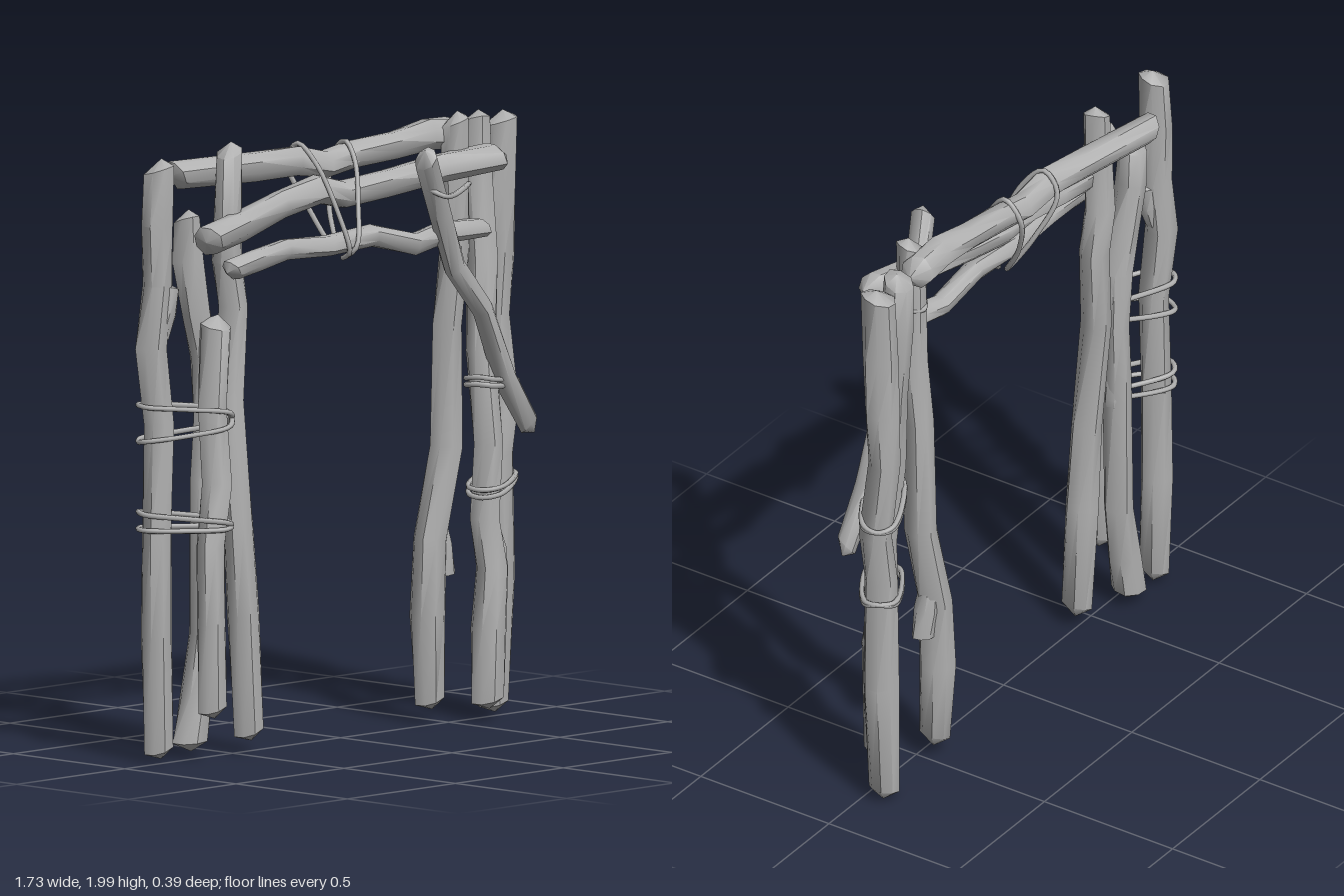
import * as THREE from 'three';
import { toCreasedNormals } from 'three/addons/utils/BufferGeometryUtils.js';

const SIDES = 8;
const wood = new THREE.MeshStandardMaterial({ color: 0xb0b0b0 });
wood.name = 'grey wood';

// Crooked log lofted through knots [x, y, z, radius], each end cut to a slanted, off-centre point.
function logGeometry(knots, tip) {
  const pts = knots.map(k => new THREE.Vector3(k[0], k[1], k[2]));
  const last = pts.length - 1;
  const pos = [], idx = [];
  const ref = new THREE.Vector3(0, 0, 1);
  const dirs = pts.map((p, i) => pts[Math.min(i + 1, last)].clone().sub(pts[Math.max(i - 1, 0)]).normalize());
  pts.forEach((p, i) => {
    const t = dirs[i];
    const u = new THREE.Vector3().crossVectors(t, ref).normalize();
    const v = new THREE.Vector3().crossVectors(t, u);
    for (let s = 0; s < SIDES; s++) {
      const a = (s + 0.5) / SIDES * Math.PI * 2;
      const r = knots[i][3] * (1.09 + 0.06 * Math.sin(a * 3 + i * 1.7));
      // slanted saw cut at both ends
      const slant = i === 0 || i === last ? Math.cos(a + i) * tip * 0.5 : 0;
      const q = p.clone().addScaledVector(u, Math.cos(a) * r).addScaledVector(v, Math.sin(a) * r).addScaledVector(t, slant);
      pos.push(q.x, q.y, q.z);
    }
  });
  for (let i = 0; i < last; i++) {
    for (let s = 0; s < SIDES; s++) {
      const a = i * SIDES + s, b = i * SIDES + (s + 1) % SIDES;
      idx.push(a, b, b + SIDES, a, b + SIDES, a + SIDES);
    }
  }
  [[0, -1], [last, 1]].forEach(([i, sign]) => {
    const apex = pts[i].clone().addScaledVector(dirs[i], sign * tip);
    const c = pos.length / 3;
    pos.push(apex.x + knots[i][3] * 0.2, apex.y, apex.z);
    for (let s = 0; s < SIDES; s++) {
      const a = i * SIDES + s, b = i * SIDES + (s + 1) % SIDES;
      if (sign > 0) idx.push(a, b, c); else idx.push(b, a, c);
    }
  });
  const g = new THREE.BufferGeometry();
  g.setAttribute('position', new THREE.Float32BufferAttribute(pos, 3));
  g.setIndex(idx);
  return toCreasedNormals(g, 0.85);
}

// Thin cord pulled tight through a closed run of points.
function cordGeometry(points) {
  const curve = new THREE.CatmullRomCurve3(points.map(p => new THREE.Vector3(...p)), true, 'centripetal', 0.5);
  return new THREE.TubeGeometry(curve, points.length * 6, 0.009, 6, true);
}

// Two crossing turns of cord hugging a pair of posts centred at p and q, given as [x, z].
function lashing(p, q, r, y, spread, tilt) {
  const length = Math.hypot(q[0] - p[0], q[1] - p[1]);
  const dx = (q[0] - p[0]) / length, dz = (q[1] - p[1]) / length;
  const pts = [];
  for (let k = 0; k < 16; k++) {
    const a = k * Math.PI / 4, c = Math.cos(a), s = Math.sin(a);
    const f = k % 4 === 2 ? 0.5 : c > 0 ? 1 : 0;
    pts.push([
      p[0] + (q[0] - p[0]) * f + r * (dx * c - dz * s),
      y - spread * Math.sin(a / 2) + tilt * c,
      p[1] + (q[1] - p[1]) * f + r * (dz * c + dx * s)]);
  }
  return pts;
}

const LOGS = {
  leftPostInner: [[0.465, 0.08, -0.05, 0.046], [0.455, 0.35, -0.05, 0.055], [0.465, 0.6, -0.05, 0.052], [0.53, 0.9, -0.04, 0.05],
    [0.515, 1.3, -0.02, 0.046], [0.54, 1.55, -0.01, 0.046], [0.525, 1.8, 0, 0.045], [0.52, 1.96, 0.01, 0.04]],
  leftPostMiddle: [[0.63, 0.075, 0.05, 0.05], [0.635, 0.3, 0.05, 0.055], [0.66, 0.5, 0.04, 0.05], [0.635, 0.66, 0.03, 0.045],
    [0.655, 0.9, 0.03, 0.046], [0.65, 1.2, 0, 0.046], [0.685, 1.5, -0.03, 0.05], [0.68, 1.75, -0.05, 0.05], [0.69, 1.94, -0.06, 0.045]],
  leftPostOuter: [[0.77, 0.04, -0.06, 0.046], [0.785, 0.45, -0.055, 0.054], [0.775, 0.85, -0.05, 0.05], [0.795, 1.02, -0.045, 0.05],
    [0.785, 1.3, -0.07, 0.048], [0.8, 1.5, -0.07, 0.052], [0.79, 1.7, -0.06, 0.054], [0.795, 1.93, -0.055, 0.052]],
  rightPostOuter: [[-0.79, 0.045, -0.05, 0.045], [-0.8, 0.4, -0.05, 0.048], [-0.8, 0.75, -0.05, 0.046], [-0.79, 1.1, -0.05, 0.046],
    [-0.815, 1.35, -0.06, 0.05], [-0.785, 1.55, -0.06, 0.046], [-0.8, 1.75, -0.05, 0.05], [-0.79, 1.93, -0.05, 0.046]],
  rightPostBack: [[-0.645, 0.055, -0.05, 0.053], [-0.615, 0.2, -0.05, 0.05], [-0.585, 0.4, -0.05, 0.044], [-0.58, 0.9, -0.05, 0.044],
    [-0.57, 1.1, -0.05, 0.04], [-0.58, 1.3, -0.05, 0.043], [-0.62, 1.45, -0.05, 0.045], [-0.645, 1.62, -0.06, 0.048], [-0.65, 1.75, -0.06, 0.042]],
  rightPostShort: [[-0.685, 0.18, 0.09, 0.044], [-0.685, 0.45, 0.085, 0.044], [-0.68, 0.7, 0.075, 0.044], [-0.635, 0.9, 0.06, 0.046],
    [-0.635, 1.15, 0.04, 0.045], [-0.6, 1.41, 0.02, 0.048]],
  rightPostInner: [[-0.435, 0.075, 0.01, 0.046], [-0.46, 0.45, 0.01, 0.05], [-0.475, 0.75, 0, 0.046], [-0.49, 1.15, -0.03, 0.047],
    [-0.445, 1.45, -0.05, 0.046], [-0.475, 1.6, -0.05, 0.046], [-0.475, 1.955, -0.04, 0.04]],
  topBeamBack: [[-0.6, 1.88, -0.155, 0.044], [-0.3, 1.885, -0.105, 0.046], [-0.13, 1.89, -0.08, 0.045], [0, 1.865, -0.07, 0.042],
    [0.12, 1.885, -0.065, 0.042], [0.3, 1.9, -0.055, 0.042], [0.45, 1.92, -0.05, 0.048], [0.57, 1.91, -0.05, 0.05]],
  topBeamMiddle: [[-0.7, 1.7, 0.085, 0.046], [-0.47, 1.715, -0.005, 0.046], [-0.25, 1.765, -0.03, 0.042], [-0.08, 1.795, -0.025, 0.045],
    [0.03, 1.77, -0.015, 0.042], [0.2, 1.79, 0, 0.042], [0.42, 1.82, 0.03, 0.044], [0.635, 1.84, 0.08, 0.044]],
  topBeamFront: [[-0.57, 1.59, 0.065, 0.033], [-0.45, 1.61, 0.055, 0.034], [-0.3, 1.63, 0.04, 0.032], [-0.1, 1.62, 0.04, 0.032],
    [0.1, 1.635, 0.045, 0.034], [0.28, 1.59, 0.055, 0.034], [0.4, 1.615, 0.06, 0.034], [0.6, 1.61, 0.05, 0.03]],
  diagonalBrace: [[0.24, 1.88, 0.15, 0.036], [0.36, 1.68, 0.1, 0.035], [0.44, 1.5, 0.085, 0.034], [0.58, 1.35, 0.075, 0.033],
    [0.7, 1.12, 0.055, 0.036], [0.81, 0.95, 0.06, 0.033]],
};

// Broken branch ends that swell out of the posts.
const STUBS = {
  leftInnerStub: [[0.485, 0.7, -0.05, 0.028], [0.505, 0.58, -0.045, 0.038], [0.52, 0.485, -0.04, 0.034]],
  leftMiddleStub: [[0.65, 0.66, 0.03, 0.028], [0.672, 0.56, 0.038, 0.038], [0.682, 0.48, 0.04, 0.034]],
  leftOuterStub: [[0.8, 1.36, -0.07, 0.03], [0.808, 1.46, -0.07, 0.036], [0.81, 1.53, -0.07, 0.03]],
  rightOuterStub: [[-0.79, 1.38, -0.05, 0.03], [-0.768, 1.46, -0.045, 0.036], [-0.755, 1.54, -0.04, 0.032]],
  rightBackStubUpper: [[-0.57, 1.12, -0.05, 0.032], [-0.568, 1.22, -0.045, 0.036], [-0.57, 1.31, -0.04, 0.03]],
  rightBackStubLower: [[-0.58, 0.72, -0.05, 0.032], [-0.572, 0.83, -0.05, 0.038], [-0.57, 0.92, -0.05, 0.03]],
};

const CORDS = {
  rightLashingUpper: lashing([-0.795, -0.055], [-0.635, 0.045], 0.06, 1.11, 0.06, 0.005),
  rightLashingLower: lashing([-0.8, -0.05], [-0.66, 0.067], 0.06, 0.78, 0.028, -0.01),
  leftLashingUpper: lashing([0.65, 0.015], [0.79, -0.055], 0.064, 1.09, 0.012, -0.022),
  leftLashingLower: lashing([0.645, 0.03], [0.78, -0.052], 0.064, 0.765, 0.012, 0.02),
  // beam binding: a V across the front, two bars over the top
  beamBinding: [[-0.115, 1.945, -0.08], [-0.1, 1.88, -0.01], [-0.07, 1.72, 0.06], [-0.045, 1.6, 0.085],
    [-0.03, 1.575, 0.04], [-0.015, 1.61, 0.085], [0.03, 1.74, 0.05], [0.075, 1.88, -0.01], [0.085, 1.935, -0.065],
    [0.08, 1.87, -0.12], [0.03, 1.72, -0.08], [-0.02, 1.59, 0.0], [-0.06, 1.72, -0.08], [-0.11, 1.88, -0.135]],
  braceBinding: [[0.27, 1.78, 0.12], [0.3, 1.755, 0.175], [0.36, 1.75, 0.155], [0.53, 1.76, 0.06],
    [0.575, 1.75, 0.005], [0.53, 1.745, -0.05], [0.46, 1.75, 0.0], [0.33, 1.76, 0.08]],
};

export function createModel() {
  const model = new THREE.Group();
  model.name = 'logArchway';
  const add = (name, geometry) => {
    const mesh = new THREE.Mesh(geometry, wood);
    mesh.name = name;
    model.add(mesh);
  };
  for (const [name, knots] of Object.entries(LOGS)) add(name, logGeometry(knots, 0.035));
  for (const [name, knots] of Object.entries(STUBS)) add(name, logGeometry(knots, 0.012));
  for (const [name, points] of Object.entries(CORDS)) add(name, cordGeometry(points));
  return model;
}
